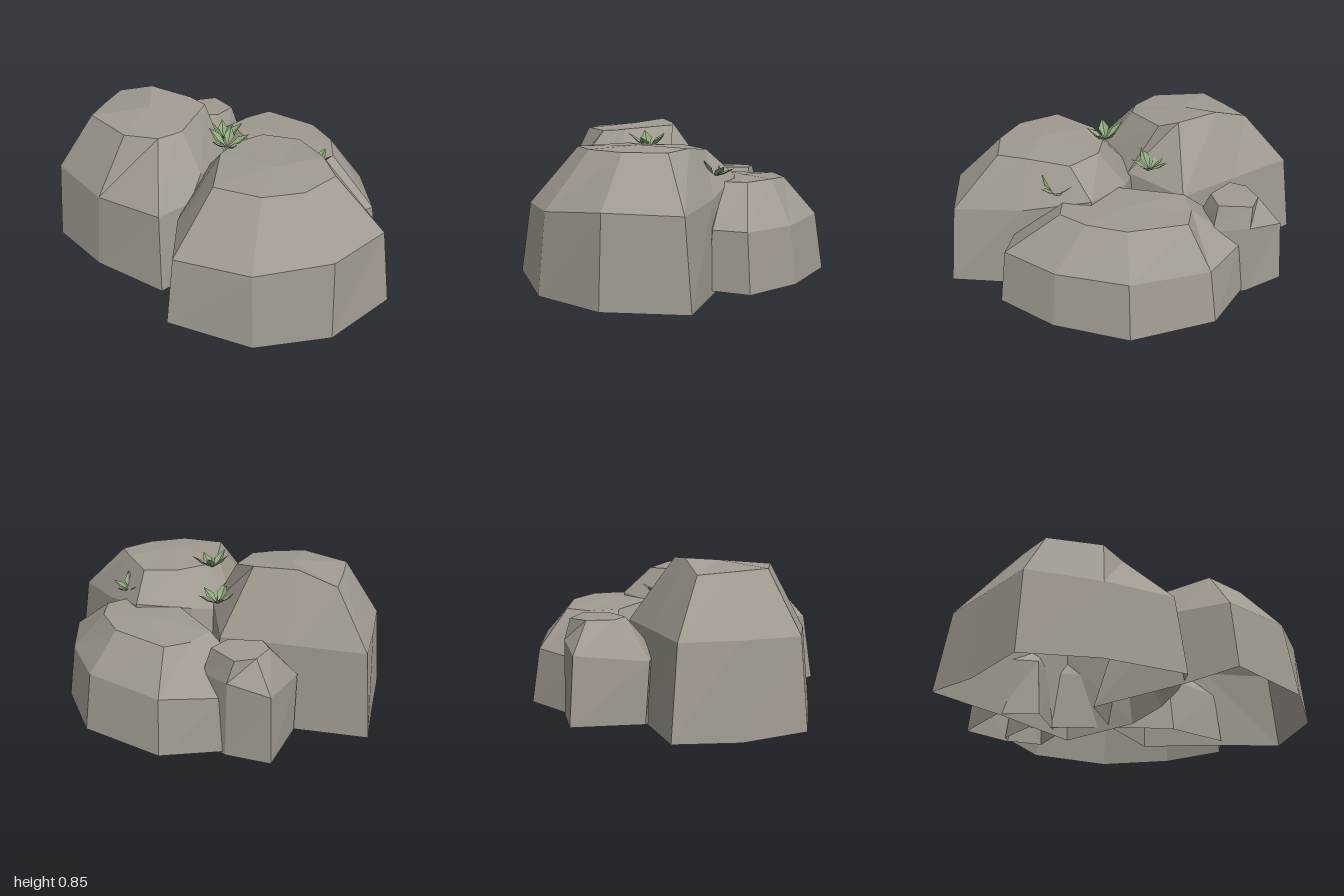
import * as THREE from 'three';

const stone = new THREE.MeshStandardMaterial({ color: 0xa09a90, flatShading: true, side: THREE.DoubleSide });
stone.name = 'warm grey stone';
const leafGreen = new THREE.MeshStandardMaterial({ color: 0x8aaa78, flatShading: true, side: THREE.DoubleSide });
leafGreen.name = 'leaf green';

function meshFromTriangles(name, points, material) {
  const geometry = new THREE.BufferGeometry();
  geometry.setAttribute('position', new THREE.Float32BufferAttribute(points.flat(), 3));
  geometry.computeVertexNormals();
  const mesh = new THREE.Mesh(geometry, material);
  mesh.name = name;
  return mesh;
}

// Boulder shell, open underneath: each column runs base, shoulder, crown
function boulder(name, columns, peak) {
  const tris = [];
  columns.forEach((a, i) => {
    const b = columns[(i + 1) % columns.length];
    for (let r = 0; r < 2; r++) {
      tris.push(a[r], b[r], b[r + 1], a[r], b[r + 1], a[r + 1]);
    }
    tris.push(a[2], b[2], peak);
  });
  return meshFromTriangles(name, tris, stone);
}

// Tuft of folded, pointed leaves
function tuft(name, position, count, size, turn, tilt) {
  const group = new THREE.Group();
  group.name = name;
  for (let i = 0; i < count; i++) {
    const root = [0, 0, 0], tip = [0, 0.08, 0.112], fold = [0, 0.03, 0.06];
    const left = [0.03, 0.045, 0.06], right = [-0.03, 0.045, 0.06];
    const leaf = meshFromTriangles('leaf',
      [root, fold, left, fold, tip, left, root, right, fold, fold, right, tip], leafGreen);
    leaf.rotation.y = turn + (i / count) * Math.PI * 2;
    leaf.scale.setScalar(i % 2 ? 0.9 : 1);
    group.add(leaf);
  }
  group.position.set(...position);
  group.rotation.set(...tilt);
  group.scale.setScalar(size);
  return group;
}

export function createModel() {
  const model = new THREE.Group();
  model.name = 'boulderCluster';

  model.add(boulder('tallBoulder', [
    [[-1, 0.07, 0.13], [-0.94, 0.51, 0.15], [-0.7, 0.78, 0.21]],
    [[-0.83, 0.035, 0.43], [-0.8, 0.5, 0.42], [-0.62, 0.79, 0.37]],
    [[-0.67, 0.05, 0.73], [-0.65, 0.5, 0.69], [-0.53, 0.8, 0.53]],
    [[-0.28, 0.06, 0.75], [-0.27, 0.48, 0.71], [-0.235, 0.8, 0.54]],
    [[0.15, 0.07, 0.66], [0.11, 0.5, 0.62], [-0.1, 0.79, 0.43]],
    [[0.16, 0.06, 0.48], [0.135, 0.51, 0.43], [-0.07, 0.795, 0.34]],
    [[0.14, 0.05, 0.28], [0.085, 0.61, 0.31], [-0.06, 0.8, 0.3]],
    [[0.05, 0.03, 0.05], [0, 0.55, 0.04], [-0.17, 0.82, 0.04]],
    [[-0.25, 0, -0.22], [-0.27, 0.5, -0.19], [-0.28, 0.83, 0.05]],
    [[-0.62, 0.04, -0.04], [-0.6, 0.5, -0.01], [-0.51, 0.845, 0.13]],
  ], [-0.35, 0.825, 0.28]));

  model.add(boulder('wideBoulder', [
    [[-0.2, 0.04, 0.21], [-0.06, 0.5, 0.16], [0.13, 0.73, 0.1]],
    [[0.16, 0.05, 0.6], [0.16, 0.47, 0.54], [0.17, 0.74, 0.25]],
    [[0.35, 0.075, 0.795], [0.35, 0.44, 0.74], [0.36, 0.735, 0.48]],
    [[0.75, 0.05, 0.6], [0.71, 0.45, 0.57], [0.58, 0.735, 0.38]],
    [[0.97, 0.045, 0.27], [0.94, 0.485, 0.26], [0.69, 0.73, 0.2]],
    [[1, 0.05, -0.145], [0.95, 0.475, -0.11], [0.7, 0.73, -0.015]],
    [[0.59, 0.05, -0.24], [0.59, 0.5, -0.22], [0.55, 0.74, -0.1]],
    [[0.24, 0.05, -0.36], [0.235, 0.58, -0.32], [0.33, 0.72, -0.175]],
    [[-0.04, 0.05, -0.08], [0.03, 0.55, -0.1], [0.17, 0.73, -0.06]],
  ], [0.46, 0.75, 0.15]));

  model.add(boulder('lowBackBoulder', [
    [[-0.57, 0.06, -0.44], [-0.54, 0.34, -0.43], [-0.27, 0.54, -0.4]],
    [[-0.47, 0.05, -0.2], [-0.46, 0.39, -0.22], [-0.26, 0.55, -0.25]],
    [[0.08, 0.04, -0.03], [0.06, 0.35, -0.06], [0.09, 0.56, -0.14]],
    [[0.3, 0.04, 0], [0.29, 0.36, -0.04], [0.26, 0.56, -0.2]],
    [[0.66, 0.07, -0.2], [0.64, 0.36, -0.22], [0.38, 0.56, -0.27]],
    [[0.73, 0.07, -0.4], [0.69, 0.36, -0.385], [0.4, 0.56, -0.385]],
    [[0.47, 0.06, -0.63], [0.445, 0.35, -0.6], [0.28, 0.565, -0.51]],
    [[0.1, 0.06, -0.8], [0.1, 0.36, -0.755], [0.085, 0.555, -0.585]],
    [[-0.35, 0.055, -0.705], [-0.32, 0.34, -0.67], [-0.225, 0.545, -0.54]],
  ], [0.08, 0.565, -0.37]));

  model.add(boulder('smallRock', [
    [[-0.79, 0.06, -0.38], [-0.765, 0.4, -0.365], [-0.64, 0.55, -0.33]],
    [[-0.66, 0.05, -0.04], [-0.65, 0.36, -0.02], [-0.61, 0.55, -0.2]],
    [[-0.45, 0.04, 0.04], [-0.46, 0.37, -0.02], [-0.53, 0.555, -0.16]],
    [[-0.3, 0.04, -0.25], [-0.33, 0.4, -0.26], [-0.4, 0.555, -0.27]],
    [[-0.36, 0.04, -0.45], [-0.38, 0.42, -0.43], [-0.41, 0.555, -0.4]],
    [[-0.57, 0.05, -0.465], [-0.57, 0.44, -0.46], [-0.585, 0.55, -0.425]],
  ], [-0.52, 0.555, -0.3]));

  // Plants growing in the gaps between the boulders
  model.add(tuft('creviceTuft', [-0.11, 0.6, -0.04], 5, 1, 0.3, [-0.1, 0, 0]));
  model.add(tuft('crownTuft', [0.11, 0.71, 0.145], 5, 1, 0, [0, 0, -0.1]));
  model.add(tuft('backTuft', [0.415, 0.59, -0.215], 5, 0.85, 0.8, [-0.25, 0, 0.1]));
  return model;
}
